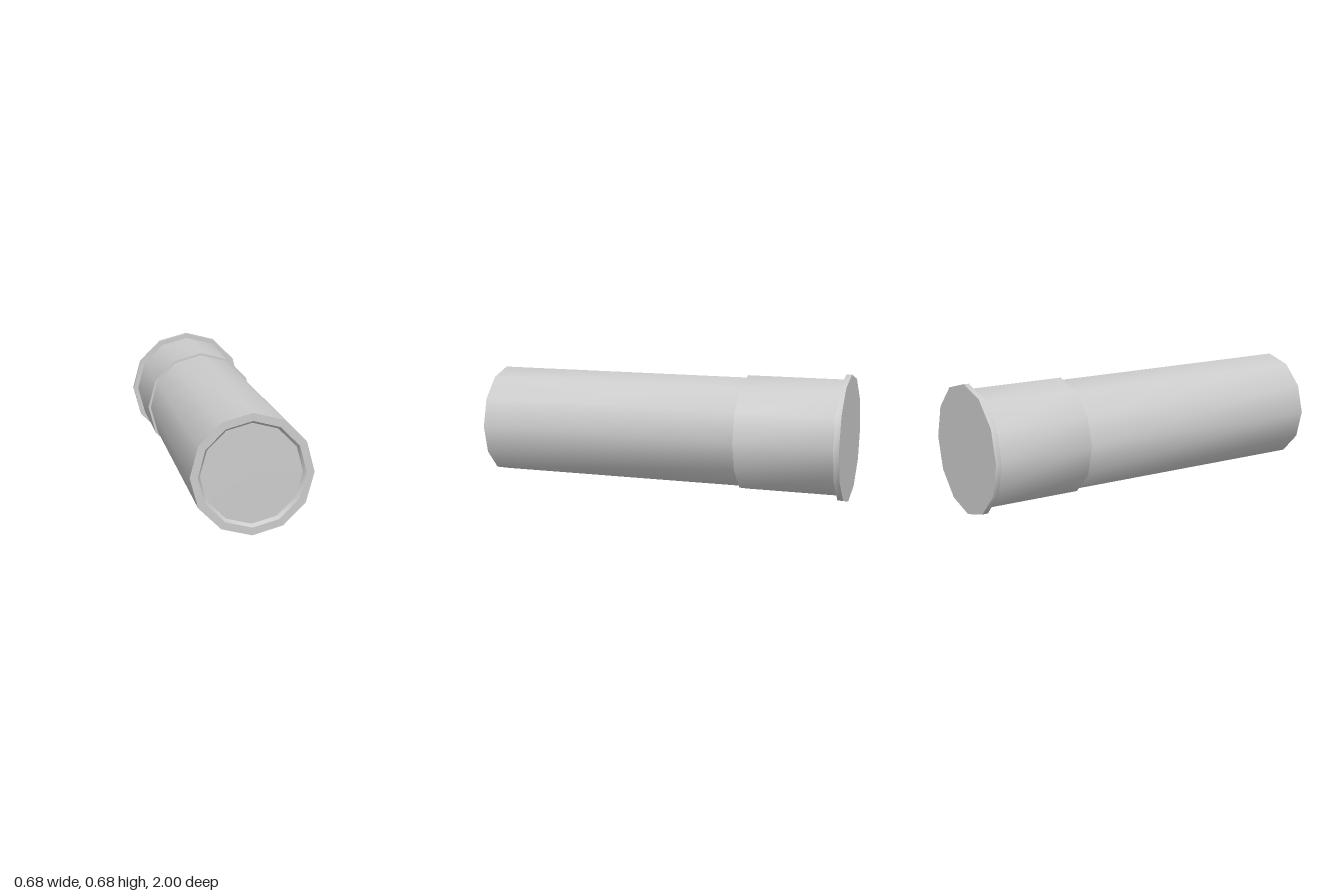
import * as THREE from 'three';
import { toCreasedNormals } from 'three/addons/utils/BufferGeometryUtils.js';

const SIDES = 12;
const RIM = 0.342, COLLAR = 0.314, TUBE = 0.301, MOUTH = 0.262, FLOOR = 0.249;

export function createModel() {
  const group = new THREE.Group();
  group.name = 'steppedTube';
  const material = new THREE.MeshStandardMaterial({ color: 0xcccccc });

  // Turns a [radius, z] profile, listed back to front, around the z axis
  const addTurned = (name, profile) => {
    const points = profile.map(([r, z]) => new THREE.Vector2(r, z));
    const lathe = new THREE.LatheGeometry(points, SIDES).rotateX(Math.PI / 2);
    const mesh = new THREE.Mesh(toCreasedNormals(lathe, 0.6), material);
    mesh.name = name;
    mesh.position.y = RIM;
    group.add(mesh);
  };

  // Closed back plate with a thin projecting edge
  addTurned('backRim', [[0, -1], [RIM, -1], [RIM, -0.97], [COLLAR, -0.97]]);

  // Wider sleeve with a small step down to the tube
  addTurned('collar', [[COLLAR, -0.97], [COLLAR, -0.44], [TUBE, -0.44]]);

  // Long tube with a shallow tapered recess in its front end
  addTurned('tube', [[TUBE, -0.44], [TUBE, 1], [MOUTH, 1], [FLOOR, 0.98], [0, 0.98]]);

  return group;
}
